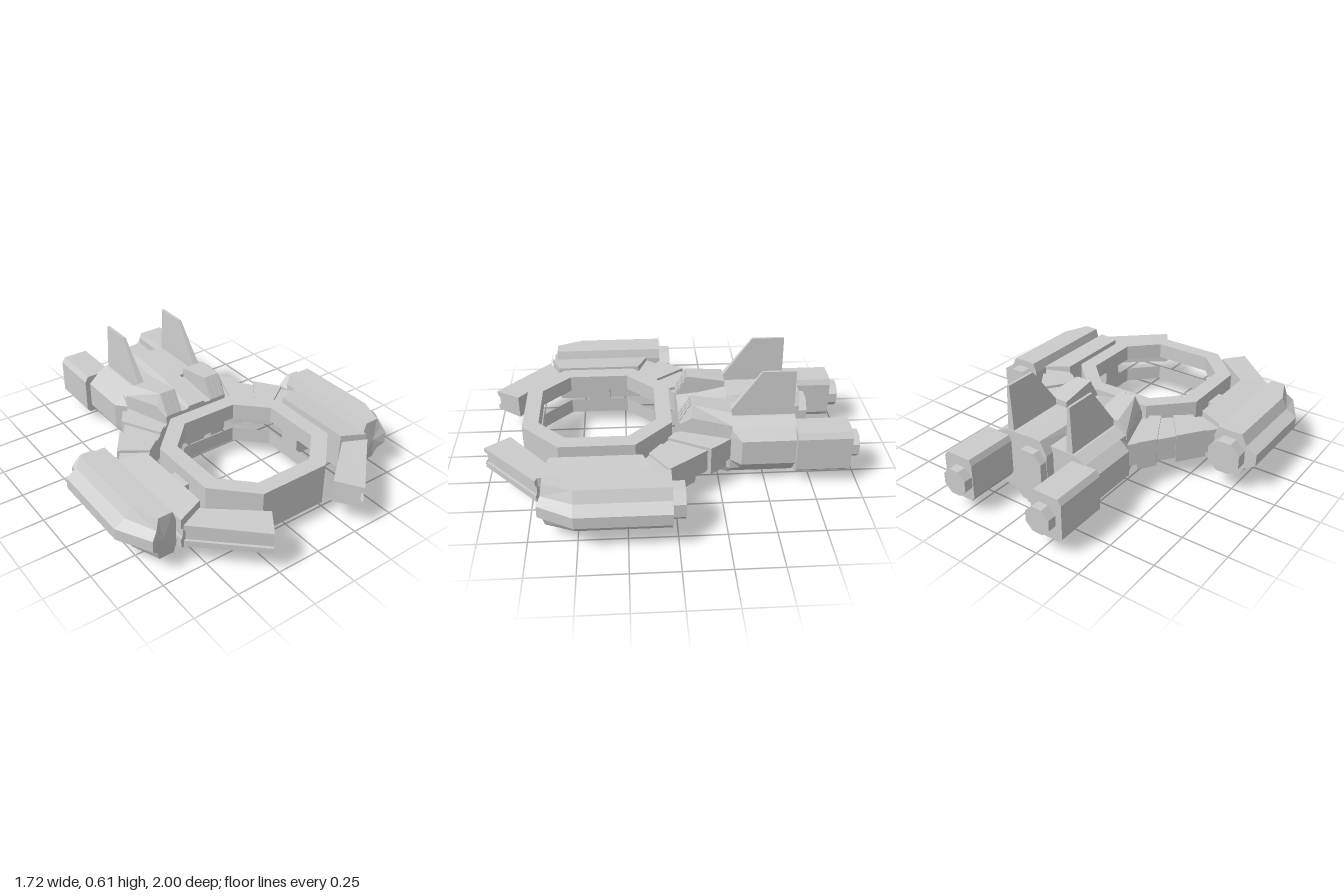
import * as THREE from 'three';

const material = new THREE.MeshStandardMaterial({ color: 0xcccccc, flatShading: true });

// Skins a row of closed loops; the winding is fixed so that faces point outwards
function loft(loops, caps = true) {
  const tris = [];
  const n = loops[0].length;
  for (let i = 0; i < loops.length - 1; i++) {
    const a = loops[i], b = loops[i + 1];
    for (let j = 0; j < n; j++) {
      const k = (j + 1) % n;
      tris.push([a[j], a[k], b[k]], [a[j], b[k], b[j]]);
    }
  }
  if (caps) {
    const mid = (l) => [0, 1, 2].map((c) => l.reduce((s, p) => s + p[c], 0) / n);
    const first = loops[0], last = loops[loops.length - 1];
    const m0 = mid(first), m1 = mid(last);
    for (let j = 0; j < n; j++) {
      const k = (j + 1) % n;
      tris.push([m0, first[k], first[j]], [m1, last[j], last[k]]);
    }
  }
  const c = loops.flat().reduce((v, p) => v.add(new THREE.Vector3(...p)), new THREE.Vector3())
    .divideScalar(n * loops.length);
  let volume = 0;
  for (const t of tris) {
    const [p, q, r] = t.map((v) => new THREE.Vector3(...v).sub(c));
    volume += p.dot(q.cross(r));
  }
  if (volume < 0) tris.forEach((t) => t.reverse());
  const g = new THREE.BufferGeometry();
  g.setAttribute('position', new THREE.Float32BufferAttribute(tris.flat(2), 3));
  g.computeVertexNormals();
  return g;
}

const atZ = (z, profile) => profile.map(([x, y]) => [x, y, z]);

// Cross-section of a beam: t runs from the inner to the outer edge point [x, z]
const across = (inner, outer, profile) => profile.map(([t, y]) => [
  inner[0] + (outer[0] - inner[0]) * t, y, inner[1] + (outer[1] - inner[1]) * t]);

const lerp2 = (a, b, t) => [a[0] + (b[0] - a[0]) * t, a[1] + (b[1] - a[1]) * t];

// Beam profile with a groove along the outer face
const grooved = (h0, h1) => [[0, 0.2 - h0], [0, 0.2 + h0], [1, 0.2 + h1], [1, 0.235],
  [0.9, 0.235], [0.9, 0.17], [1, 0.17], [1, 0.2 - h1]];

export function createModel() {
  const root = new THREE.Group();
  const add = (name, geometry, parent = root) => {
    const m = new THREE.Mesh(geometry, material);
    m.name = name;
    parent.add(m);
    return m;
  };
  const octagonNozzle = (name, x, z0, z1, apothem, parent) => {
    const g = new THREE.CylinderGeometry(apothem / Math.cos(Math.PI / 8),
      apothem / Math.cos(Math.PI / 8), z1 - z0, 8);
    g.rotateY(Math.PI / 8).rotateX(Math.PI / 2);
    add(name, g, parent).position.set(x, 0.2, (z0 + z1) / 2);
  };

  // Octagonal ring with a slot around its inner wall
  const octagon = (a, h, y) => [[h, a], [a, h], [a, -h], [h, -a], [-h, -a], [-a, -h], [-a, h], [-h, a]]
    .map(([x, z]) => [x, y, z + 0.4]);
  add('ring', loft([
    octagon(0.315, 0.165, 0.235), octagon(0.315, 0.165, 0.325), octagon(0.4, 0.2, 0.325),
    octagon(0.4, 0.2, 0.085), octagon(0.315, 0.165, 0.085), octagon(0.315, 0.165, 0.17),
  ], false));

  // Central spine with its nozzle
  const spine = (z, top, bottom, shoulder) => atZ(z, [
    [0.05, top], [0.088, shoulder], [0.088, 0.4 - shoulder], [0.05, bottom],
    [-0.05, bottom], [-0.088, 0.4 - shoulder], [-0.088, shoulder], [-0.05, top]]);
  add('spine', loft([spine(-0.04, 0.33, 0.07, 0.27), spine(-0.31, 0.39, 0.012, 0.33),
    spine(-0.71, 0.405, 0.003, 0.33)]));
  const nozzle = [[0.04, 0.35], [0.085, 0.3], [0.085, 0.11], [0.04, 0.06],
    [-0.04, 0.06], [-0.085, 0.11], [-0.085, 0.3], [-0.04, 0.35]];
  add('spineNozzle', loft([atZ(-0.7, nozzle), atZ(-0.755, nozzle)]));

  // Front body wedge
  const box = (x, y0, y1) => [[-x, y0], [x, y0], [x, y1], [-x, y1]];
  add('frontBody', loft([atZ(-0.04, box(0.2, 0.09, 0.315)), atZ(-0.31, box(0.29, 0.075, 0.34))]));

  // Rear hull, chamfered at its front corners
  const hullHalf = [[0.1, 0.36], [0.22, 0.36], [0.285, 0.325], [0.34, 0.275],
    [0.34, 0.13], [0.285, 0.07], [0.24, 0.02], [0.1, 0.02]];
  const hull = (z, edge) => atZ(z, [...hullHalf, ...hullHalf.map(([x, y]) => [-x, y]).reverse()]
    .map(([x, y]) => [Math.sign(x) * Math.min(Math.abs(x), edge), y]));
  add('rearHull', loft([hull(-0.31, 0.29), hull(-0.365, 0.34), hull(-0.66, 0.34)]));

  for (const s of [1, -1]) {
    const side = new THREE.Group();
    side.name = s > 0 ? 'leftSide' : 'rightSide';
    root.add(side);
    const part = (name, loops) =>
      add(name, loft(loops.map((l) => l.map(([x, y, z]) => [s * x, y, z]))), side);

    // Upper hood with sloped front
    part('hood', [
      atZ(-0.04, [[0.1, 0.3], [0.1, 0.318], [0.195, 0.318], [0.2, 0.31], [0.2, 0.3]]),
      atZ(-0.105, [[0.1, 0.3], [0.1, 0.43], [0.197, 0.43], [0.222, 0.36], [0.222, 0.3]]),
      atZ(-0.315, [[0.1, 0.3], [0.1, 0.395], [0.235, 0.395], [0.29, 0.345], [0.29, 0.3]]),
    ]);
    // Vent tiles on the hood front
    for (let row = 0; row < 3; row++) {
      for (let col = 0; col < 3; col++) {
        const t = (row + 0.5) / 3;
        const tile = add('ventTile', new THREE.BoxGeometry(0.023, 0.031, 0.014), side);
        tile.position.set(s * (0.117 + col * 0.031), 0.318 + 0.112 * t, -0.04 - 0.065 * t);
        tile.rotation.x = -0.526;
      }
    }
    // Lower hood
    part('lowerHood', [
      atZ(-0.04, [[0.1, 0.11], [0.2, 0.11], [0.19, 0.07], [0.1, 0.07]]),
      atZ(-0.31, [[0.1, 0.1], [0.285, 0.09], [0.245, 0.015], [0.1, 0.015]]),
    ]);
    // Tail fin
    const blade = (y, z0, z1, w) => [[0.19 - w, y, z0], [0.19 + w, y, z0],
      [0.19 + w, y, z1], [0.19 - w, y, z1]];
    part('tailFin', [blade(0.33, -0.3, -0.655, 0.02), blade(0.395, -0.315, -0.655, 0.018),
      blade(0.615, -0.475, -0.655, 0.007)]);

    // Main engine
    const engine = [[0.19, 0.11], [0.19, 0.295], [0.205, 0.325], [0.35, 0.325], [0.37, 0.295],
      [0.37, 0.105], [0.35, 0.085], [0.205, 0.085]];
    part('engine', [atZ(-0.655, engine), atZ(-0.95, engine)]);
    octagonNozzle('engineNozzle', s * 0.265, -1, -0.94, 0.07, side);

    // Rear arm with two armour blocks
    const in0 = [0.2, -0.04], in1 = [0.46, 0.165], out0 = [0.29, -0.31], out1 = [0.6, 0.11];
    const slab = (h, t1) => [[0, 0.2 - h], [0, 0.2 + h], [t1, 0.2 + h], [t1, 0.2 - h]];
    const armAt = (t, profile) => across(lerp2(in0, in1, t), lerp2(out0, out1, t), profile);
    part('rearArm', [armAt(0, slab(0.065, 1)), armAt(1, slab(0.068, 1))]);
    for (const [t0, t1] of [[0.12, 0.32], [0.52, 0.84]]) {
      part('armBlock', [armAt(t0, slab(0.082, 1.09)), armAt(t1, slab(0.082, 1.09))]);
    }

    // Side rail and front arm
    part('sideRail', [across([0.46, 0.165], [0.605, 0.11], grooved(0.105, 0.088)),
      across([0.46, 0.64], [0.605, 0.69], grooved(0.105, 0.088))]);
    part('frontArm', [across([0.47, 0.645], [0.6, 0.705], grooved(0.065, 0.065)),
      across([0.2, 0.865], [0.29, 0.995], grooved(0.065, 0.06))]);

    // Links from ring to rail and from rail to pod
    const link = (name, x0, x1) => add(name, new THREE.BoxGeometry(x1 - x0, 0.12, 0.12), side)
      .position.set(s * (x0 + x1) / 2, 0.2, 0.4);
    link('ringLink', 0.315, 0.47);
    link('podLink', 0.59, 0.65);

    // Outer pod, its outer edge tapering in at the front
    const podShape = [[0.613, 0.13], [0.613, 0.275], [0.63, 0.33], [0.77, 0.33], [0.8, 0.27],
      [0.86, 0.235], [0.86, 0.17], [0.8, 0.135], [0.77, 0.08], [0.63, 0.08]];
    const nose = podShape.map(([x, y]) => {
      const k = Math.max(0, x - 0.63);
      return [Math.min(x, 0.63) + k * 0.57, y, 0.66 + Math.max(0, x - 0.77) * 0.33];
    });
    part('pod', [atZ(0.03, podShape), atZ(0.51, podShape), nose]);
    octagonNozzle('podNozzle', s * 0.704, -0.035, 0.04, 0.09, side);
  }
  return root;
}
